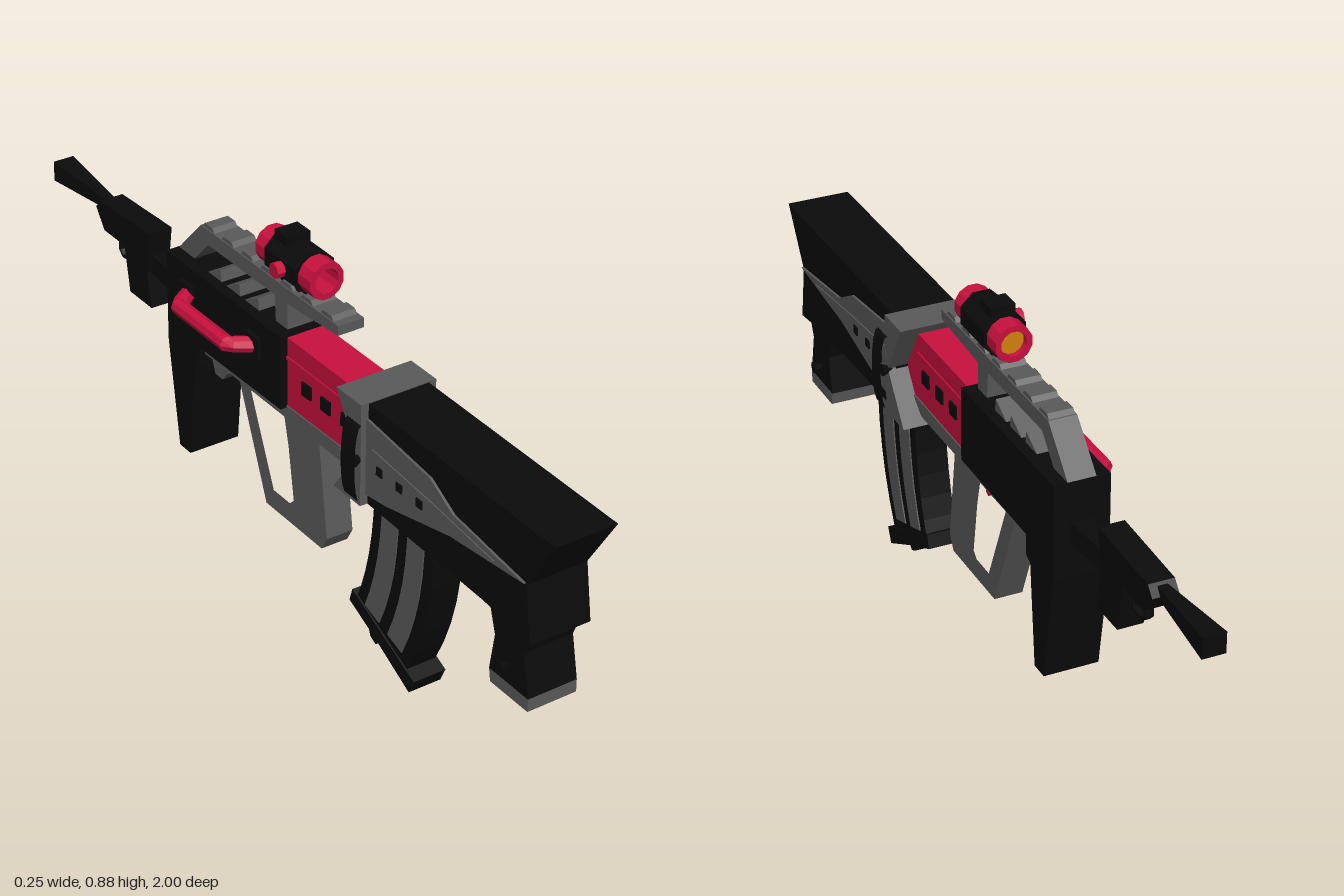
import * as THREE from 'three';

const mat = (name, color) => { const m = new THREE.MeshStandardMaterial({ color }); m.name = name; return m; };

export function createModel() {
  const black = mat('black', 0x0b0b0b), grey = mat('grey', 0x5a5a5a);
  const red = mat('red', 0xc8103e), amber = mat('amber', 0xd0820f);
  const model = new THREE.Group();
  model.name = 'rifle';
  model.position.x = 0.006;

  const add = (name, geo, m) => {
    let g = geo.index ? geo.toNonIndexed() : geo;
    g.computeVertexNormals(); // faceted look
    const mesh = new THREE.Mesh(g, m);
    mesh.name = name;
    model.add(mesh);
    return mesh;
  };
  const toShape = pts => new THREE.Shape(pts.map(p => new THREE.Vector2(p[0], p[1])));
  // side profile given as [z, y] points, extruded across x from x0 to x1
  const profile = (name, pts, x0, x1, m, hole) => {
    const s = toShape(pts);
    if (hole) s.holes.push(toShape(hole));
    const g = new THREE.ExtrudeGeometry(s, { depth: x1 - x0, bevelEnabled: false });
    g.rotateY(-Math.PI / 2).translate(x1, 0, 0);
    return add(name, g, m);
  };
  const slab = (name, pts, half, m, hole) => profile(name, pts, -half, half, m, hole);
  const box = (name, x, y, z, w, h, d, m) => add(name, new THREE.BoxGeometry(w, h, d).translate(x, y, z), m);
  // four sided taper along z, from [z, halfX, halfY] to [z, halfX, halfY]
  const taper = (name, a, b, y, m) => {
    const g = new THREE.BoxGeometry(2, 2, 1), p = g.attributes.position;
    for (let i = 0; i < p.count; i++) {
      const e = p.getZ(i) > 0 ? a : b;
      p.setXYZ(i, p.getX(i) * e[1], y + p.getY(i) * e[2], e[0]);
    }
    return add(name, g, m);
  };

  // Stock
  slab('stock', [[1, 0.675], [0.36, 0.68], [0.36, 0.435], [0.78, 0.425], [0.935, 0.405], [0.915, 0.54]], 0.076, black);
  slab('collar', [[0.375, 0.682], [0.285, 0.682], [0.362, 0.55], [0.278, 0.435], [0.375, 0.435]], 0.095, grey);
  for (const s of [-1, 1]) {
    const side = (name, pts, a, b, m) => profile(name, pts, s > 0 ? a : -b, s > 0 ? b : -a, m);
    side('stockPlate', [[0.915, 0.545], [0.68, 0.575], [0.60, 0.62], [0.375, 0.645], [0.375, 0.46],
      [0.45, 0.47], [0.67, 0.52]], 0.07, 0.082, grey);
    side('stockPlateRidge', [[0.82, 0.545], [0.62, 0.567], [0.4, 0.585], [0.4, 0.51], [0.62, 0.525]], 0.08, 0.085, grey);
    for (const z of [0.43, 0.5, 0.57]) box('stockBolt', s * 0.084, 0.545, z, 0.008, 0.02, 0.02, black);
    // rounded side hoop at the front of the stock
    const hoop = new THREE.CylinderGeometry(1, 1, 0.05, 16, 1, true).rotateX(Math.PI / 2);
    hoop.scale(0.016, 0.095, 1).translate(s * 0.106, 0.55, 0.366);
    add('sideHoop', hoop, black);
    const pin = (x, y, z) => add('pin', new THREE.CylinderGeometry(0.015, 0.005, 0.024, 8)
      .rotateZ(-s * Math.PI / 2).translate(s * x, y, z), black);
    pin(0.096, 0.548, 0.366);
    pin(0.073, 0.305, 0.85);
    // receiver windows
    for (const z of [0.255, 0.18, 0.107]) box('window', s * 0.0495, 0.565, z, 0.005, 0.032, 0.034, black);
  }

  // Rear grip
  slab('rearGrip', [[0.925, 0.42], [0.90, 0.36], [0.92, 0.258], [0.79, 0.258], [0.805, 0.35], [0.78, 0.43]], 0.062, black);
  slab('rearGripCap', [[0.92, 0.258], [0.92, 0.227], [0.795, 0.227], [0.79, 0.258]], 0.062, grey);

  // Magazine: a curved band between back and front edge curves
  const curve = (...p) => new THREE.QuadraticBezierCurve(...p.map(q => new THREE.Vector2(...q)));
  const backEdge = curve([0.56, 0.44], [0.57, 0.23], [0.475, 0.05]);
  const frontEdge = curve([0.347, 0.44], [0.345, 0.26], [0.283, 0.12]);
  const band = (f0, f1, t1) => {
    const edge = f => Array.from({ length: 7 }, (_, i) => {
      const t = i / 6 * t1;
      return backEdge.getPoint(t).lerp(frontEdge.getPoint(t), f).toArray();
    });
    return [...edge(f0), ...edge(f1).reverse()];
  };
  slab('magazine', band(0, 1, 1), 0.038, black);
  slab('magazineStripe', band(0.15, 0.42, 0.93), 0.041, grey);
  slab('magazineStripe', band(0.58, 0.85, 0.93), 0.041, grey);
  slab('magazineBase', [[0.507, 0.037], [0.275, 0.145], [0.265, 0.112], [0.34, 0.077], [0.345, 0.062],
    [0.365, 0.052], [0.375, 0.06], [0.49, 0]], 0.042, black);

  // Receiver
  slab('receiverRear', [[0.31, 0.66], [0.03, 0.66], [0.03, 0.49], [0.32, 0.49], [0.365, 0.55]], 0.047, red);
  box('receiverRidge', 0, 0.61, 0.165, 0.1, 0.008, 0.27, red);
  slab('receiverFront', [[0.03, 0.665], [-0.43, 0.668], [-0.43, 0.44], [-0.39, 0.175], [-0.345, 0.175],
    [-0.32, 0.42], [-0.3, 0.43], [-0.3, 0.48], [0.03, 0.485]], 0.065, black);
  slab('lowerRail', [[0.33, 0.495], [-0.3, 0.485], [-0.3, 0.458], [0.28, 0.458]], 0.05, grey);
  slab('lowerRailStep', [[-0.18, 0.46], [-0.3, 0.46], [-0.28, 0.41], [-0.25, 0.41], [-0.23, 0.435]], 0.035, grey);

  // Trigger guard grip and trigger
  slab('gripLoop', [[0.13, 0.465], [0.165, 0.21], [0.145, 0.175], [-0.075, 0.175], [-0.19, 0.465]], 0.034, grey,
    [[-0.005, 0.455], [0.015, 0.37], [0.035, 0.24], [0.02, 0.225], [-0.045, 0.225], [-0.135, 0.44], [-0.12, 0.455]]);
  slab('trigger', [[0.01, 0.46], [-0.03, 0.46], [-0.025, 0.42], [0, 0.395], [0.012, 0.4]], 0.014, red);

  // Carry rail
  slab('carryRail', [[0.2, 0.765], [-0.335, 0.765], [-0.43, 0.665], [-0.365, 0.665], [-0.305, 0.728],
    [-0.04, 0.728], [-0.035, 0.66], [0.01, 0.66], [0.01, 0.728], [0.2, 0.742]], 0.033, grey);
  for (let i = 0; i < 7; i++) {
    const z = 0.155 - i * 0.077;
    slab('railTooth', [[z + 0.025, 0.764], [z + 0.015, 0.775], [z - 0.015, 0.775], [z - 0.025, 0.764]], 0.03, grey);
  }
  for (const z of [-0.1, -0.175, -0.25])
    slab('receiverFin', [[z + 0.005, 0.695], [z - 0.05, 0.665], [z - 0.01, 0.66], [z + 0.01, 0.665]], 0.04, grey);

  // Scope: hollow tube, octagonal body, turrets and mount
  const ring = (name, ri, ro, z0, z1, n, m) => {
    const pts = [[ri, z0], [ro, z0], [ro, z1], [ri, z1], [ri, z0]].map(p => new THREE.Vector2(...p));
    const g = new THREE.LatheGeometry(pts, n).rotateX(Math.PI / 2).rotateZ(Math.PI / n);
    return add(name, g.translate(0, 0.82, 0), m);
  };
  ring('scopeTube', 0.03, 0.044, -0.1, 0.11, 12, red);
  ring('scopeBody', 0.036, 0.053, -0.055, 0.065, 8, black);
  const lensMat = amber;
  lensMat.side = THREE.DoubleSide;
  add('scopeLens', new THREE.CircleGeometry(0.031, 12).translate(0, 0.82, -0.085), lensMat);
  box('scopeTopTurret', 0, 0.873, -0.02, 0.058, 0.024, 0.05, black);
  add('scopeSideTurret', new THREE.CylinderGeometry(0.018, 0.018, 0.025, 8).rotateZ(Math.PI / 2)
    .translate(-0.056, 0.82, 0.01), red);
  box('scopeMount', 0, 0.768, 0, 0.042, 0.03, 0.07, black);

  // Side handle on the right
  const path = new THREE.CurvePath();
  const hp = [[-0.055, -0.345], [-0.114, -0.305], [-0.114, -0.105], [-0.055, -0.065]].map(p => new THREE.Vector3(p[0], 0.6, p[1]));
  for (let i = 0; i < 3; i++) path.add(new THREE.LineCurve3(hp[i], hp[i + 1]));
  add('sideHandle', new THREE.TubeGeometry(path, 24, 0.019, 8), red);
  for (const z of [-0.34, -0.07]) box('handleBase', -0.068, 0.6, z, 0.016, 0.055, 0.05, black);

  // Barrel and muzzle assembly
  taper('barrel', [-0.42, 0.027, 0.025], [-0.58, 0.016, 0.025], 0.548, black);
  slab('muzzleBlock', [[-0.562, 0.638], [-0.78, 0.628], [-0.8, 0.605], [-0.765, 0.557], [-0.675, 0.557],
    [-0.655, 0.445], [-0.56, 0.445], [-0.578, 0.53]], 0.03, black);
  slab('muzzleGuard', [[-0.67, 0.56], [-0.735, 0.56], [-0.735, 0.515], [-0.72, 0.5], [-0.675, 0.505]], 0.01, black,
    [[-0.676, 0.555], [-0.728, 0.555], [-0.728, 0.517], [-0.717, 0.507], [-0.68, 0.512]]);
  taper('muzzle', [-0.78, 0.011, 0.012], [-1, 0.027, 0.025], 0.61, black);

  return model;
}
